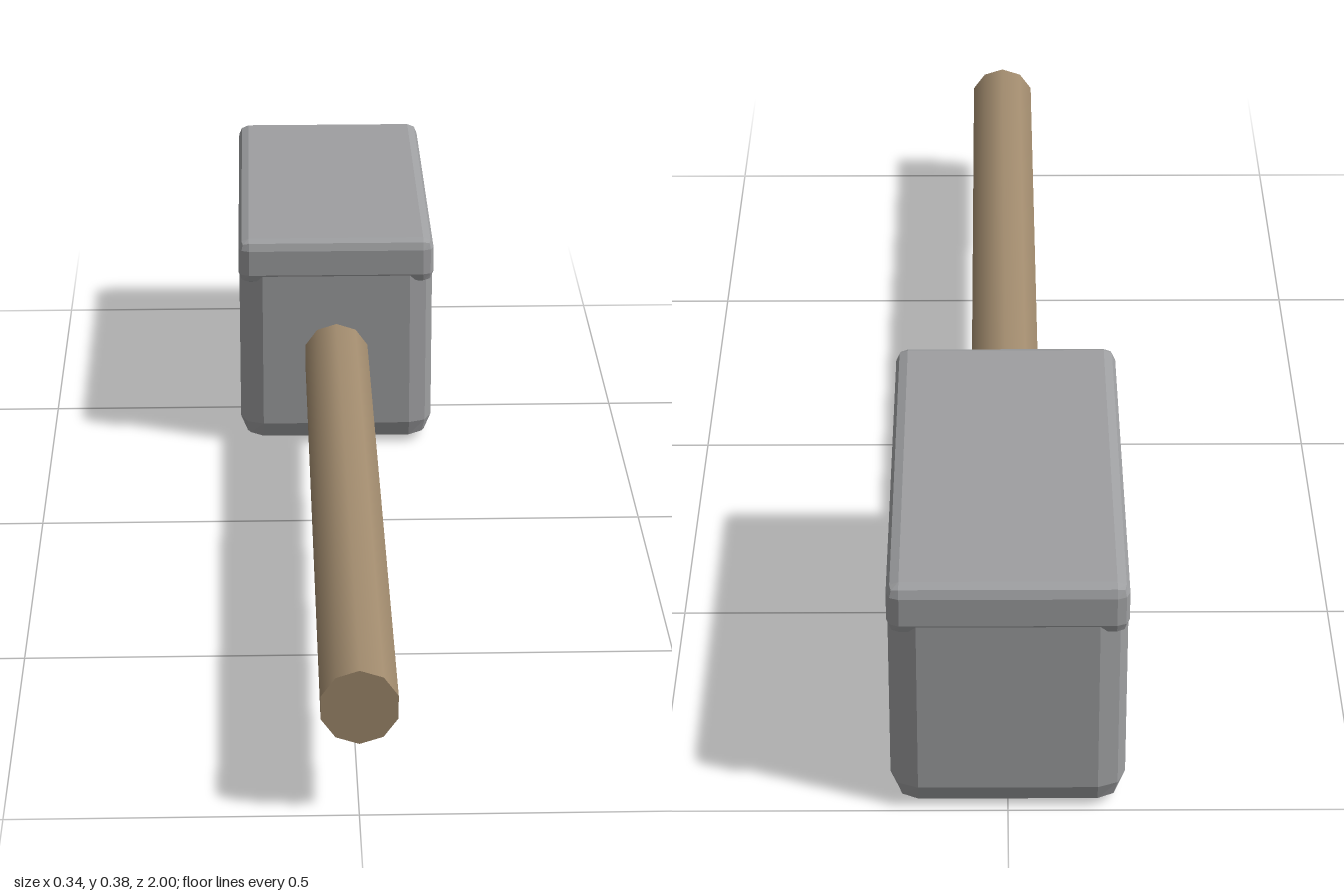
import * as THREE from 'three';
import { RoundedBoxGeometry } from 'three/addons/geometries/RoundedBoxGeometry.js';

export function createModel() {
  const model = new THREE.Group();
  model.name = 'mallet';

  const stone = new THREE.MeshStandardMaterial({ color: 0x9e9fa1 });
  stone.name = 'stone grey';
  stone.flatShading = true;
  const wood = new THREE.MeshStandardMaterial({ color: 0xa08a6d });
  wood.name = 'wood brown';

  function add(name, geometry, material, y, z) {
    const mesh = new THREE.Mesh(geometry, material);
    mesh.name = name;
    mesh.position.set(0, y, z);
    model.add(mesh);
    return mesh;
  }

  // Head block with wide bevels
  add('headBlock', new RoundedBoxGeometry(0.336, 0.36, 0.673, 1, 0.04), stone, 0.18, -0.6625);

  // Cap with tighter bevels, so its corners stand proud of the block
  add('headCap', new RoundedBoxGeometry(0.338, 0.08, 0.675, 1, 0.018), stone, 0.34, -0.6625);

  // Ten-sided round handle, its end buried in the head
  const shaft = new THREE.CylinderGeometry(0.057, 0.057, 1.4, 10);
  shaft.rotateX(Math.PI / 2);
  shaft.rotateZ(Math.PI);
  add('handle', shaft, wood, 0.17, 0.3);

  return model;
}
